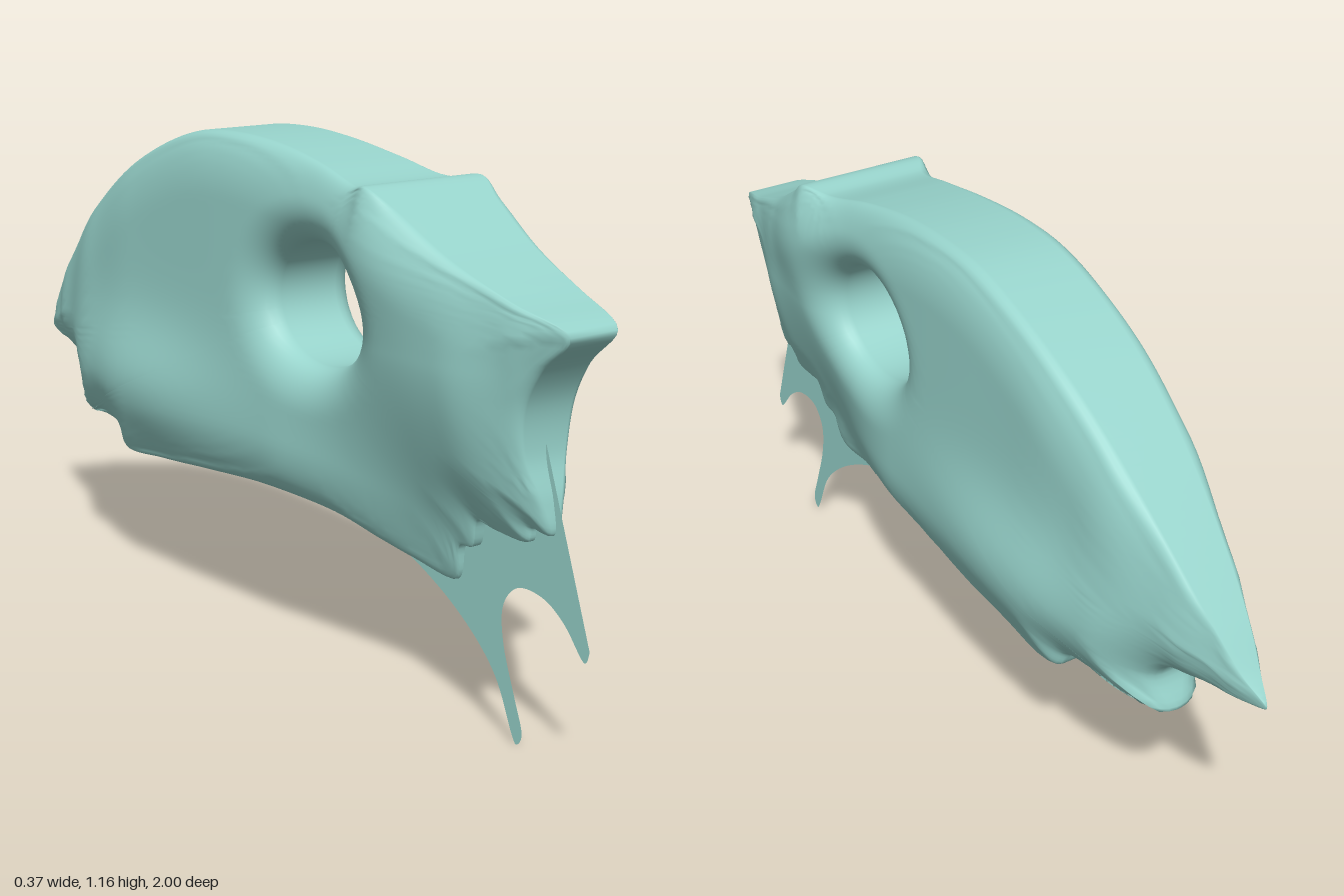
import * as THREE from 'three';

const material = new THREE.MeshStandardMaterial({ color: 0x98d4cc, side: THREE.DoubleSide });

// Side outline as [z, y, half width at the rim], clockwise from the snout
const TOP = [
  [0.978, 0.875, 0.06], [0.85, 0.925, 0.09], [0.7, 0.985, 0.11], [0.57, 1.06, 0.13],
  [0.5, 1.1, 0.15], [0.43, 1.092, 0.12], [0.3, 1.12, 0.1], [0.15, 1.145, 0.09],
  [0, 1.155, 0.09], [-0.15, 1.145, 0.09], [-0.3, 1.1, 0.09], [-0.45, 1.03, 0.085],
  [-0.6, 0.93, 0.075], [-0.75, 0.8, 0.06], [-0.88, 0.67, 0.04], [-0.95, 0.59, 0.02],
];
const BOTTOM = [
  [-1, 0.54, 0], [-0.95, 0.53, 0.01], [-0.85, 0.522, 0.02], [-0.76, 0.5, 0.03],
  [-0.72, 0.45, 0.03], [-0.745, 0.365, 0.005], [-0.68, 0.38, 0.05], [-0.58, 0.398, 0.08],
  [-0.5, 0.385, 0.09], [-0.47, 0.343, 0.1], [-0.3, 0.35, 0.1], [-0.1, 0.37, 0.1],
  [0.1, 0.38, 0.08], [0.3, 0.365, 0.05], [0.42, 0.33, 0.025], [0.5, 0.31, 0.01],
  [0.63, 0.3, 0.003], [0.65, 0.38, 0.02], [0.69, 0.39, 0.02], [0.71, 0.45, 0.025],
  [0.76, 0.44, 0.015], [0.84, 0.44, 0.01], [0.85, 0.47, 0.01], [0.895, 0.465, 0.003],
  [0.89, 0.53, 0.02], [0.865, 0.62, 0.05], [0.87, 0.72, 0.06], [0.91, 0.8, 0.06],
];
// Half width along the length
const WIDTH = [
  [-1, 0.01], [-0.9, 0.05], [-0.8, 0.085], [-0.6, 0.13], [-0.4, 0.142], [0, 0.147],
  [0.4, 0.143], [0.7, 0.135], [0.85, 0.11], [0.98, 0.075],
];
const HOLE = { z: 0.283, y: 0.822, rz: 0.163, ry: 0.133, rim: 0.07 };

const bell = (v, mid, spread) => Math.exp(-(((v - mid) / spread) ** 2));

function baseWidth(z) {
  const k = Math.max(1, WIDTH.findIndex((w) => w[0] >= z));
  const [z0, w0] = WIDTH[k - 1];
  const [z1, w1] = WIDTH[k];
  return THREE.MathUtils.lerp(w0, w1, THREE.MathUtils.smoothstep(z, z0, z1));
}

// Cheek bulge at the rear, brow at the front, and a keel below the snout
function halfWidth(z, y) {
  const w = baseWidth(z) + 0.045 * bell(z, -0.33, 0.3) * bell(y, 0.54, 0.13)
    + 0.05 * bell(z, 0.55, 0.16) * bell(y, 1.0, 0.2);
  const keel = THREE.MathUtils.smoothstep(z, 0.15, 0.6)
    * (1 - THREE.MathUtils.smoothstep(y, 0.28, 0.78));
  return w * (1 - 0.85 * keel);
}

// Quarter-round easing from a rim up to full width
const round = (d) => Math.sqrt(1 - (1 - Math.min(d, 1)) ** 2);

function bodyGeometry() {
  const points = [...TOP, ...BOTTOM].map(([z, y, e]) => new THREE.Vector3(e, y, z));
  const outline = new THREE.CatmullRomCurve3(points, true, 'centripetal')
    .getPoints(points.length * 6).slice(0, -1);
  const n = outline.length;
  const steps = 30;
  const cols = 2 * (steps + 1);
  const positions = [];
  const index = [];

  outline.forEach((o, i) => {
    const a = Math.atan2((o.y - HOLE.y) / HOLE.ry, (o.z - HOLE.z) / HOLE.rz);
    const hz = HOLE.z + HOLE.rz * Math.cos(a);
    const hy = HOLE.y + HOLE.ry * Math.sin(a);
    const ring = [];
    for (let j = 0; j <= steps; j++) {
      const s = (1 - Math.cos((Math.PI * j) / steps)) / 2;
      const z = THREE.MathUtils.lerp(hz, o.z, s);
      const y = THREE.MathUtils.lerp(hy, o.y, s);
      let near = o;
      let d = Infinity;
      for (const q of outline) {
        const dq = Math.hypot(q.z - z, q.y - y);
        if (dq < d) { d = dq; near = q; }
      }
      const w = halfWidth(z, y);
      const e = Math.max(0, near.x);
      const holeDist = Math.hypot(z - hz, y - hy);
      const rim = HOLE.rim / 0.14;
      const x = (e + (w - e) * round(d / 0.14)) * (rim + (1 - rim) * round(holeDist / 0.1));
      ring.push([x, y, z]);
    }
    // Left side outward, then right side back to the hole
    ring.forEach((p) => positions.push(...p));
    ring.reverse().forEach(([x, y, z]) => positions.push(-x, y, z));

    for (let k = 0; k < cols; k++) {
      const i2 = (i + 1) % n;
      const k2 = (k + 1) % cols;
      const [p, q, r, t] = [i * cols + k, i2 * cols + k, i2 * cols + k2, i * cols + k2];
      index.push(p, q, r, p, r, t);
    }
  });

  const geometry = new THREE.BufferGeometry();
  geometry.setAttribute('position', new THREE.Float32BufferAttribute(positions, 3));
  geometry.setIndex(index);
  geometry.computeVertexNormals();
  return geometry;
}

// Thin forked sheet on the centre plane, drawn in (z, y)
function bladeGeometry() {
  const v = (pts) => pts.map(([z, y]) => new THREE.Vector2(z, y));
  const shape = new THREE.Shape();
  shape.moveTo(0.6, 0.5);
  shape.lineTo(0.865, 0.64);
  shape.lineTo(1.0, 0.26);
  shape.splineThru(v([[0.985, 0.235], [0.93, 0.295], [0.87, 0.33], [0.8, 0.33], [0.76, 0.28],
    [0.765, 0.2], [0.8, 0.1], [0.825, 0.03], [0.812, 0], [0.795, 0.02], [0.74, 0.13],
    [0.64, 0.22], [0.5, 0.295], [0.3, 0.367]]));
  shape.lineTo(0.35, 0.45);
  return new THREE.ShapeGeometry(shape, 8).rotateY(-Math.PI / 2);
}

export function createModel() {
  const group = new THREE.Group();
  const add = (name, geometry) => {
    const mesh = new THREE.Mesh(geometry, material);
    mesh.name = name;
    group.add(mesh);
  };
  add('body', bodyGeometry());
  add('forkedBlade', bladeGeometry());
  return group;
}
